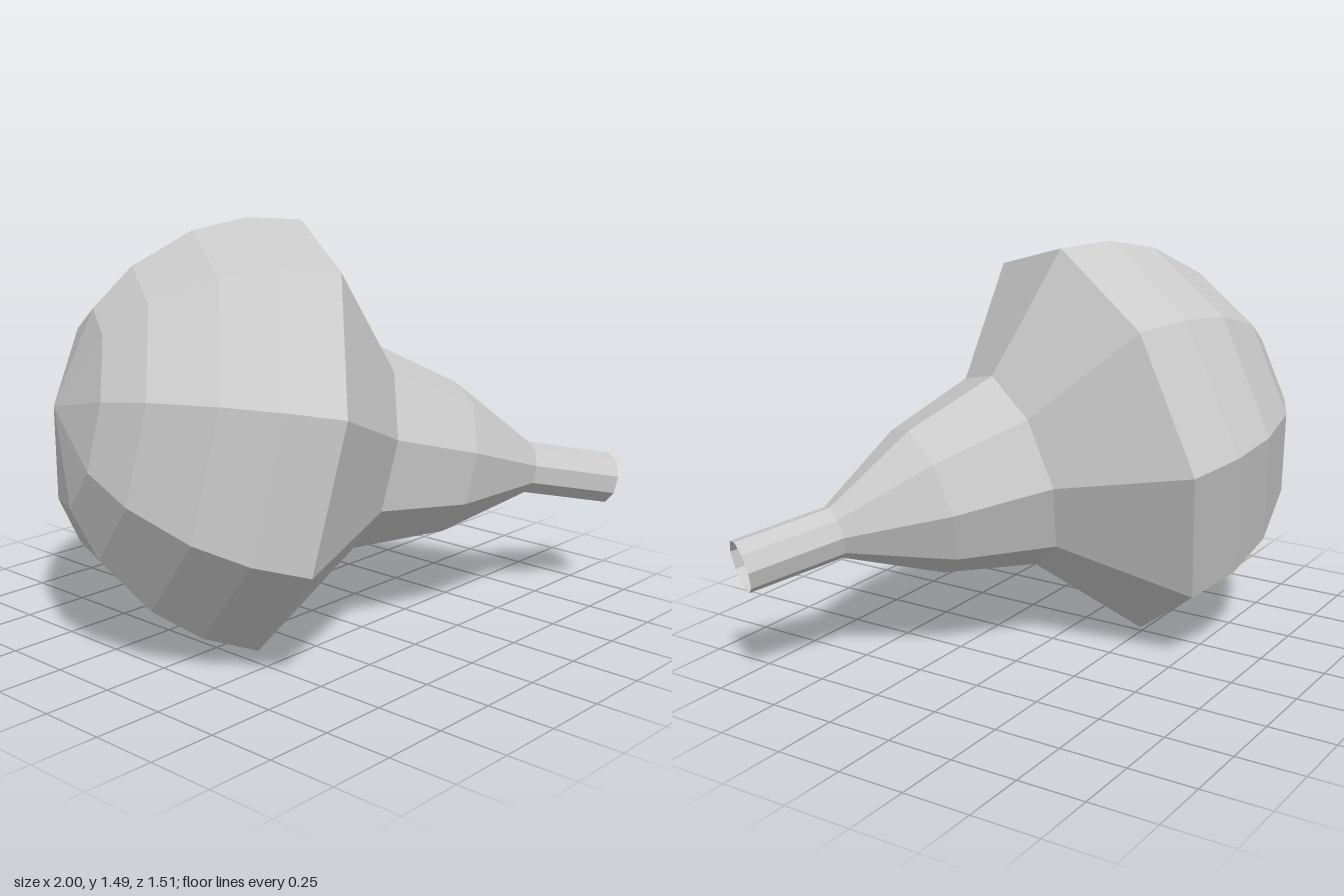
import * as THREE from 'three';

export function createModel() {
  const group = new THREE.Group();
  group.name = 'bulbModel';

  // Profile as [radius, distance along the axis], from the dome's pole to the open neck
  const R = 0.768;
  const profile = [[0, -R]];
  for (const deg of [63, 48.4, 30, 15, 0]) {
    const t = THREE.MathUtils.degToRad(deg);
    profile.push([R * Math.cos(t), -R * Math.sin(t)]);
  }
  profile.push([0.378, 0.342], [0.281, 0.693], [0.0975, 1.034], [0.0975, 1.387]);

  // Nine-sided faceted shell, open at the narrow end
  const geometry = new THREE.LatheGeometry(profile.map(([r, s]) => new THREE.Vector2(r, s)), 9);
  const material = new THREE.MeshStandardMaterial({
    color: 0xcccccc, flatShading: true, side: THREE.DoubleSide,
  });
  const shell = new THREE.Mesh(geometry, material);
  shell.name = 'bulbShell';

  // Lean the axis so the neck points left, forward and slightly down
  const axis = new THREE.Vector3(0.853, -0.2, 0.483).normalize();
  const side = new THREE.Vector3().crossVectors(axis, new THREE.Vector3(0.225, 0.974, 0)).normalize();
  const up = new THREE.Vector3().crossVectors(side, axis);
  shell.quaternion.setFromRotationMatrix(new THREE.Matrix4().makeBasis(side, axis, up));
  shell.position.set(-0.233, 0.737, 0);
  group.add(shell);

  return group;
}
